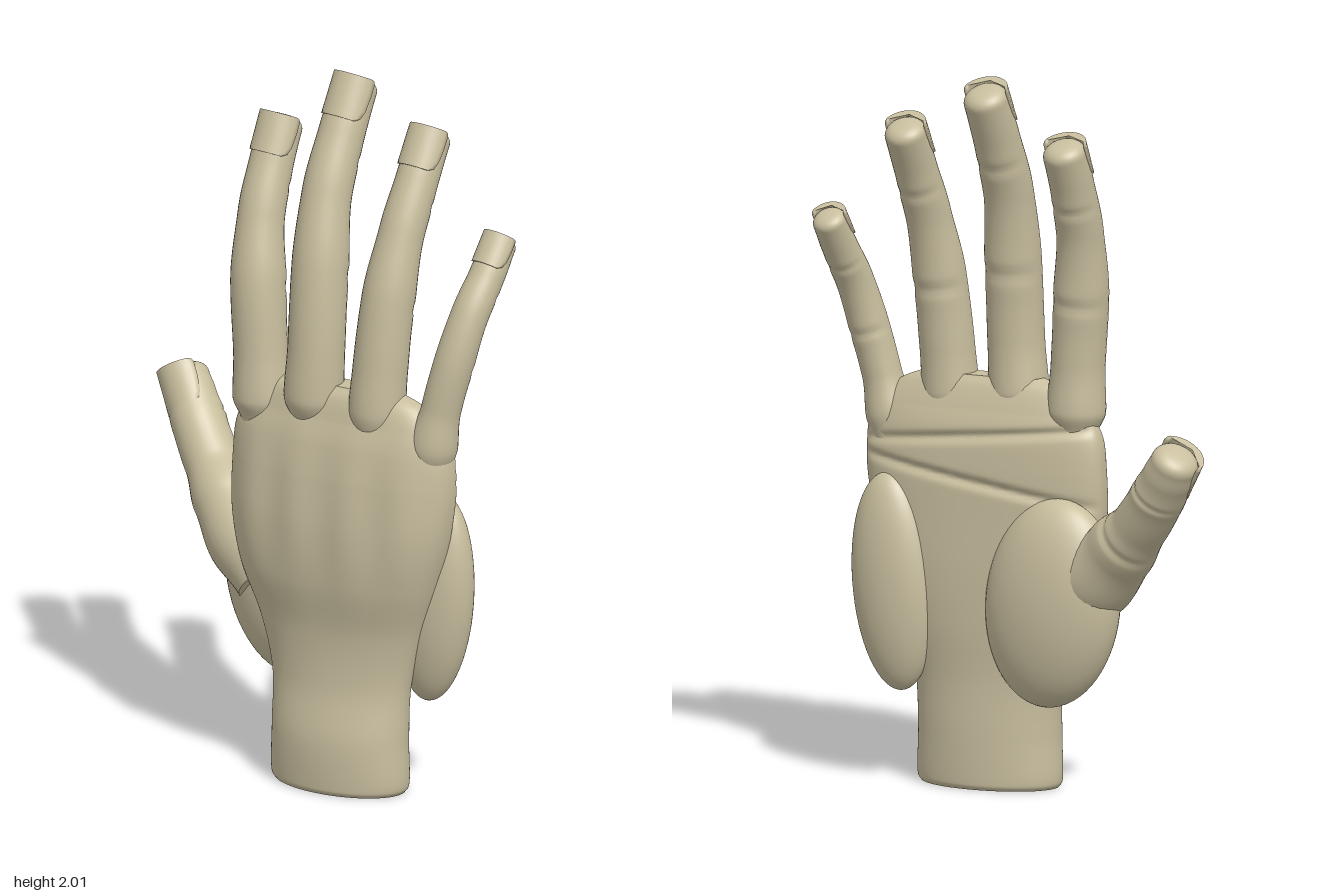
import * as THREE from 'three';

const skin = new THREE.MeshStandardMaterial({ color: 0xc8be9e });
skin.name = 'clay skin';

const gauss = (d, w) => Math.exp(-(d * d) / (w * w));

// Closed skin over a list of equally sized rings, with fanned end caps
function loft(rings) {
  const n = rings[0].length, pos = [], idx = [];
  rings.forEach(ring => ring.forEach(p => pos.push(p.x, p.y, p.z)));
  for (let i = 0; i < rings.length - 1; i++) {
    for (let j = 0; j < n; j++) {
      const a = i * n + j, b = i * n + (j + 1) % n;
      idx.push(a, b, a + n, b, b + n, a + n);
    }
  }
  [rings[0], rings[rings.length - 1]].forEach((ring, end) => {
    const start = pos.length / 3;
    const mid = ring.reduce((s, p) => s.add(p), new THREE.Vector3()).divideScalar(n);
    ring.forEach(p => pos.push(p.x, p.y, p.z));
    pos.push(mid.x, mid.y, mid.z);
    for (let j = 0; j < n; j++) {
      const a = start + j, b = start + (j + 1) % n;
      if (end) idx.push(a, b, start + n); else idx.push(b, a, start + n);
    }
  });
  const geo = new THREE.BufferGeometry();
  geo.setAttribute('position', new THREE.Float32BufferAttribute(pos, 3));
  geo.setIndex(idx);
  geo.computeVertexNormals();
  return geo;
}

function part(name, geo) {
  const mesh = new THREE.Mesh(geo, skin);
  mesh.name = name;
  return mesh;
}

// Side (u) and front (n) directions around a limb heading along t
function frame(t, hint) {
  const n = hint.clone().addScaledVector(t, -t.dot(hint)).normalize();
  return { t, n, u: n.clone().cross(t) };
}
const around = (c, f, r, a) => c.clone()
  .addScaledVector(f.u, r * Math.cos(a)).addScaledVector(f.n, r * Math.sin(a));

// Finger or thumb: points are [x, y, z, radius], folds are positions of the joint creases
function finger(name, pts, folds, nailLength, hint) {
  const group = new THREE.Group();
  group.name = name;
  const curve = new THREE.CatmullRomCurve3(pts.map(p => new THREE.Vector3(p[0], p[1], p[2])));
  const STEPS = 80, SIDES = 32, rings = [];
  for (let i = 0; i <= STEPS; i++) {
    const s = i / STEPS, k = Math.min(Math.floor(s * (pts.length - 1)), pts.length - 2);
    const r = THREE.MathUtils.lerp(pts[k][3], pts[k + 1][3],
      THREE.MathUtils.smoothstep(s * (pts.length - 1) - k, 0, 1));
    const c = curve.getPoint(s), f = frame(curve.getTangent(s), hint);
    const fold = folds.reduce((sum, q) => sum + gauss(s - q, 0.014) - 0.6 * gauss(s - q, 0.05), 0);
    rings.push(Array.from({ length: SIDES }, (_, j) => {
      const a = j / SIDES * Math.PI * 2;
      const palmSide = Math.max(0, -Math.sin(a));
      return around(c, f, r * (1 - 0.09 * fold * palmSide), a);
    }));
  }
  // Blunt rounded tip
  const end = curve.getPoint(1), f = frame(curve.getTangent(1), hint), R = pts[pts.length - 1][3];
  for (let k = 1; k <= 8; k++) {
    const a = k / 8 * Math.PI / 2;
    const c = end.clone().addScaledVector(f.t, 0.55 * R * Math.sin(a));
    const r = R * Math.max(0.02, Math.cos(a) ** 0.7);
    rings.push(Array.from({ length: SIDES }, (_, j) => around(c, f, r, j / SIDES * Math.PI * 2)));
  }
  group.add(part(name + 'Flesh', loft(rings)));

  // Thin curved nail over the front of the tip
  const M = 14, nail = [];
  for (const [s, spread] of [[0, 52], [0.08, 66], [0.25, 74], [0.6, 78], [0.9, 78], [0.97, 74], [1, 66]]) {
    const c = end.clone().addScaledVector(f.t, 0.5 * R - nailLength * (1 - s));
    const half = spread * Math.PI / 180, ring = [];
    for (let j = 0; j <= M; j++) ring.push(around(c, f, R + 0.008, Math.PI / 2 - half + 2 * half * j / M));
    for (let j = M; j >= 0; j--) ring.push(around(c, f, R - 0.001, Math.PI / 2 - half + 2 * half * j / M));
    nail.push(ring);
  }
  group.add(part(name + 'Nail', loft(nail)));
  return group;
}

// Wrist and palm: rows are [y, xMin, xMax, zBack, zMiddle, zFront]
function palmGeometry() {
  const rows = [
    [0, -0.045, 0.36, -0.042, 0.08, 0.202],
    [0.015, -0.055, 0.37, -0.05, 0.08, 0.21],
    [0.15, -0.055, 0.37, -0.05, 0.08, 0.21],
    [0.3, -0.065, 0.375, -0.045, 0.07, 0.18],
    [0.45, -0.11, 0.41, -0.05, 0.06, 0.175],
    [0.6, -0.17, 0.46, -0.05, 0.06, 0.197],
    [0.75, -0.2, 0.5, -0.045, 0.06, 0.2],
    [0.9, -0.205, 0.517, -0.04, 0.05, 0.185],
    [1.0, -0.195, 0.51, -0.03, 0.05, 0.165],
    [1.06, -0.16, 0.485, -0.012, 0.05, 0.145],
    [1.12, -0.1, 0.42, 0.01, 0.055, 0.125],
    [1.15, -0.02, 0.35, 0.03, 0.06, 0.1],
  ];
  const spans = new THREE.CatmullRomCurve3(rows.map(r => new THREE.Vector3(r[0], r[1], r[2])));
  const depths = new THREE.CatmullRomCurve3(rows.map(r => new THREE.Vector3(r[3], r[4], r[5])), false, 'catmullrom', 0.5);
  const STEPS = 160, SIDES = 96, rings = [];
  for (let i = 0; i <= STEPS; i++) {
    const s = i / STEPS, A = spans.getPoint(s), D = depths.getPoint(s);
    const y = Math.max(0, A.x);
    const square = 1 - 0.18 * THREE.MathUtils.smoothstep(y, 0.3, 0.7);
    rings.push(Array.from({ length: SIDES }, (_, j) => {
      const a = j / SIDES * Math.PI * 2, ca = Math.cos(a), sa = Math.sin(a);
      const x = (A.y + A.z) / 2 + (A.z - A.y) / 2 * Math.sign(ca) * Math.abs(ca) ** square;
      const lift = Math.abs(sa) ** square;
      let z = sa > 0 ? D.y + (D.z - D.y) * lift : D.y - (D.y - D.x) * lift;
      // Tendon ridges on the back of the hand, creases across the palm
      if (sa > 0) z += lift * 0.005 * Math.cos((x - 0.08) * 37) * gauss(y - 0.82, 0.2);
      else z += lift * 0.014 * (gauss(y - 0.99 + 0.1 * (x - 0.15), 0.013) + gauss(y - 0.86 - 0.15 * (x - 0.15), 0.013));
      return new THREE.Vector3(x, y, z);
    }));
  }
  // Loft expects rings to run counterclockwise about the heading
  rings.forEach(ring => ring.reverse());
  return loft(rings);
}

function pad(name, center, radii, tilt) {
  const mesh = part(name, new THREE.SphereGeometry(1, 48, 32));
  mesh.position.set(...center);
  mesh.scale.set(...radii);
  mesh.rotation.z = tilt;
  return mesh;
}

export function createModel() {
  const hand = new THREE.Group();
  hand.name = 'hand';
  hand.add(part('palmAndWrist', palmGeometry()));
  hand.add(pad('thumbPad', [-0.085, 0.54, -0.02], [0.2, 0.295, 0.11], 0.12));
  hand.add(pad('outerPalmPad', [0.41, 0.56, -0.01], [0.122, 0.305, 0.08], -0.08));

  const front = new THREE.Vector3(0, 0, 1);
  const folds = [0.48, 0.76];
  hand.add(finger('indexFinger', [
    [-0.11, 1.0, 0.07, 0.06], [-0.112, 1.07, 0.07, 0.083], [-0.118, 1.2, 0.07, 0.076], [-0.132, 1.4, 0.062, 0.077],
    [-0.143, 1.58, 0.03, 0.066], [-0.143, 1.72, -0.02, 0.062], [-0.14, 1.81, -0.06, 0.06],
  ], folds, 0.115, front));
  hand.add(finger('middleFinger', [
    [0.07, 1.03, 0.08, 0.06], [0.072, 1.11, 0.085, 0.084], [0.08, 1.25, 0.085, 0.08], [0.08, 1.48, 0.067, 0.079],
    [0.075, 1.68, 0.025, 0.07], [0.08, 1.84, -0.04, 0.065], [0.085, 1.95, -0.095, 0.062],
  ], folds, 0.125, front));
  hand.add(finger('ringFinger', [
    [0.275, 1.0, 0.07, 0.06], [0.278, 1.1, 0.075, 0.08], [0.285, 1.22, 0.07, 0.077], [0.298, 1.42, 0.05, 0.074],
    [0.312, 1.6, 0.005, 0.064], [0.322, 1.74, -0.055, 0.06], [0.325, 1.84, -0.11, 0.058],
  ], folds, 0.12, front));
  hand.add(finger('littleFinger', [
    [0.44, 0.93, 0.05, 0.05], [0.455, 1.02, 0.058, 0.068], [0.478, 1.13, 0.053, 0.056], [0.51, 1.27, 0.035, 0.056],
    [0.535, 1.4, -0.005, 0.053], [0.55, 1.5, -0.065, 0.05], [0.556, 1.575, -0.115, 0.047],
  ], folds, 0.095, front));
  hand.add(finger('thumb', [
    [-0.12, 0.53, 0.02, 0.1], [-0.21, 0.62, 0, 0.115], [-0.3, 0.71, -0.035, 0.1], [-0.38, 0.79, -0.075, 0.08],
    [-0.45, 0.88, -0.11, 0.077], [-0.495, 0.945, -0.135, 0.072], [-0.523, 0.99, -0.15, 0.067],
  ], [0.42, 0.7], 0.13, new THREE.Vector3(-0.25, 0, 1)));
  return hand;
}
